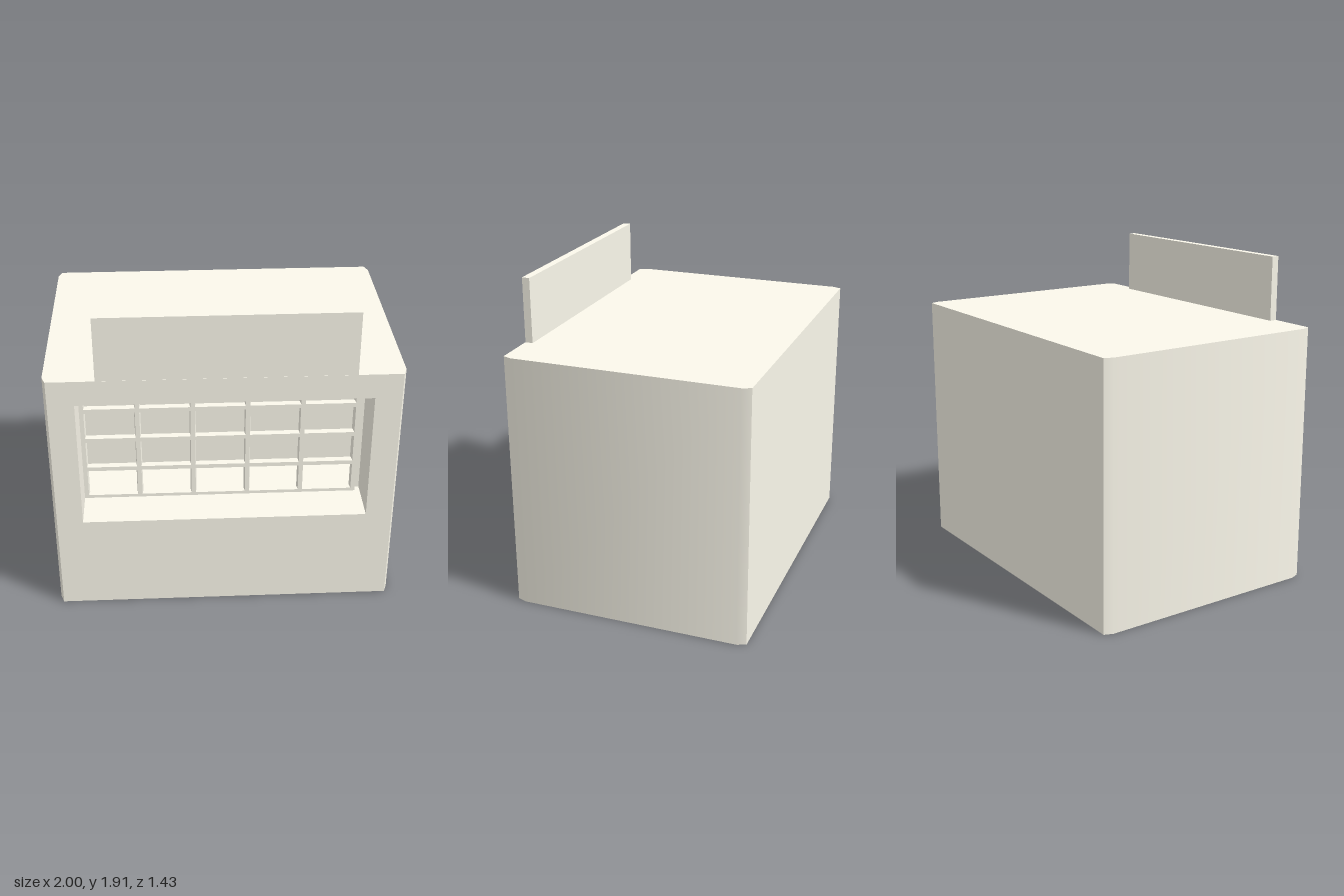
import * as THREE from 'three';

const HEIGHT = 1.535, FRONT = 0.713, GRILLE_Z = 0.45;

const material = new THREE.MeshStandardMaterial({ color: 0xfbf8eb, side: THREE.DoubleSide });

function add(parent, name, geometry, x = 0, y = 0, z = 0) {
  const mesh = new THREE.Mesh(geometry, material);
  mesh.name = name;
  mesh.position.set(x, y, z);
  parent.add(mesh);
  return mesh;
}

function rectangle(x0, y0, x1, y1, z = 0) {
  return [[x0, y0], [x1, y0], [x1, y1], [x0, y1]].map(([x, y]) => new THREE.Vector3(x, y, z));
}

// Quad strip joining two matching rows of points
function strip(rowA, rowB, closed = false) {
  const n = rowA.length;
  const index = [];
  for (let i = 0; i < (closed ? n : n - 1); i++) {
    const j = (i + 1) % n;
    index.push(i, j, n + j, i, n + j, n + i);
  }
  const geometry = new THREE.BufferGeometry().setFromPoints([...rowA, ...rowB]);
  geometry.setIndex(index);
  return geometry;
}

// Closed strip with flat faces
function flatRing(rowA, rowB) {
  const geometry = strip(rowA, rowB, true).toNonIndexed();
  geometry.computeVertexNormals();
  return geometry;
}

// Square bar along y; its front corners are pulled in by the given amounts
function barGeometry(length, insetLow, insetHigh) {
  const geometry = new THREE.BoxGeometry(0.036, length, 0.04);
  const p = geometry.attributes.position;
  for (let i = 0; i < p.count; i++) {
    const x = p.getX(i);
    if (p.getZ(i) > 0) p.setX(i, x < 0 ? x + insetLow : x - insetHigh);
  }
  geometry.computeVertexNormals();
  return geometry;
}

export function createModel() {
  const model = new THREE.Group();
  model.name = 'kioskBuilding';

  // Hollow body: chamfered plan for floor and roof
  const side = [[0.98, FRONT], [1, 0.66], [1, -0.66], [0.98, -FRONT]];
  const outline = [...side, ...side.map(([x, z]) => [-x, z]).reverse()];
  const plan = new THREE.ShapeGeometry(new THREE.Shape(outline.map(([x, z]) => new THREE.Vector2(x, z))));
  add(model, 'roof', plan.clone().rotateX(-Math.PI / 2), 0, HEIGHT);
  add(model, 'floor', plan.clone().rotateX(Math.PI / 2));

  // Side walls, shaded softly from corner to corner
  const sideNormals = [[0.93, 0.37], [0.98, 0.19], [0.98, -0.19], [0.93, -0.37]];
  for (const s of [1, -1]) {
    const row = (y) => side.map(([x, z]) => new THREE.Vector3(s * x, y, s * z));
    const wall = strip(row(0), row(HEIGHT));
    const normals = [...sideNormals, ...sideNormals].flatMap(([x, z]) => [s * x, 0, s * z]);
    wall.setAttribute('normal', new THREE.Float32BufferAttribute(normals, 3));
    add(model, s > 0 ? 'leftWall' : 'rightWall', wall);
  }
  add(model, 'backWall', new THREE.PlaneGeometry(1.96, HEIGHT).rotateY(Math.PI), 0, HEIGHT / 2, -FRONT);

  // Front wall with the window opening
  const opening = (z) => rectangle(-0.83, 0.592, 0.828, 1.385, z);
  const face = new THREE.Shape(rectangle(-0.98, 0, 0.98, HEIGHT).map((v) => new THREE.Vector2(v.x, v.y)));
  face.holes.push(new THREE.Path(opening(0).map((v) => new THREE.Vector2(v.x, v.y)).reverse()));
  add(model, 'frontWall', new THREE.ShapeGeometry(face), 0, 0, FRONT);

  // Deep window reveal with a narrow frame at its back
  const frameZ = GRILLE_Z - 0.02;
  add(model, 'windowReveal', flatRing(opening(FRONT), opening(frameZ)));
  add(model, 'windowFrame', flatRing(opening(frameZ), rectangle(-0.815, 0.606, 0.795, 1.38, frameZ)));

  // Window grille set at the back of the reveal
  const grille = new THREE.Group();
  grille.name = 'windowGrille';
  model.add(grille);
  const upright = barGeometry(0.793, 0.005, 0.005);
  for (let i = 0; i < 6; i++) add(grille, 'uprightBar', upright, -0.818 + i * 0.3205, 0.9885, GRILLE_Z);
  const rail = barGeometry(1.61, 0.01, 0).rotateZ(Math.PI / 2);
  for (let i = 0; i < 5; i++) add(grille, 'crossRail', rail, -0.015, 0.594 + i * 0.1995, GRILLE_Z);

  // Blank sign board on the roof edge
  add(model, 'signBoard', new THREE.BoxGeometry(1.437, 0.38, 0.045), 0.0085, 1.725, FRONT - 0.0235);

  return model;
}
